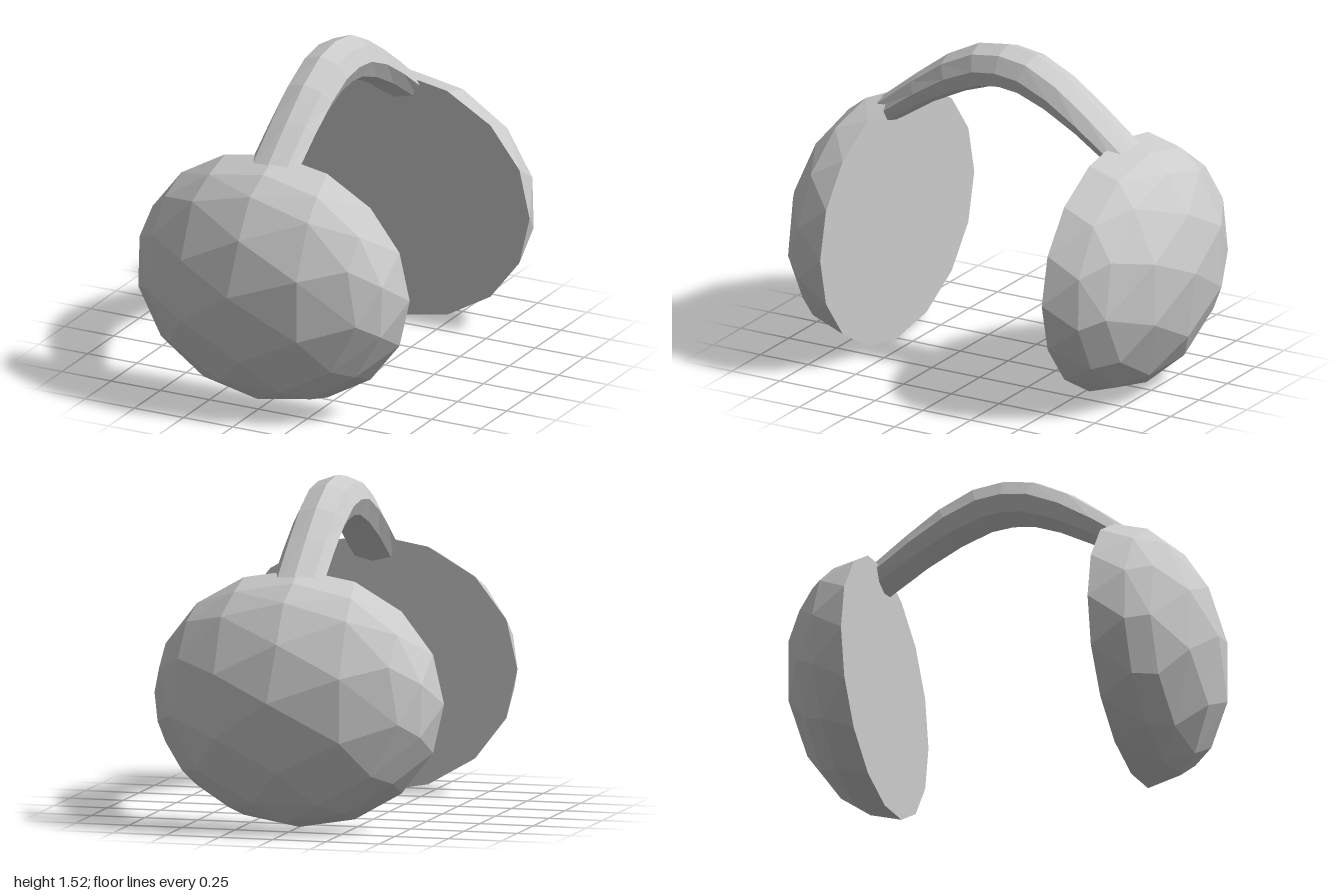
import * as THREE from 'three';
import { ConvexGeometry } from 'three/addons/geometries/ConvexGeometry.js';

const material = new THREE.MeshStandardMaterial({ color: 0xcccccc, flatShading: true });

// Faceted half ellipsoid with a flat inner face, bulging towards +z
function domeGeometry() {
  const points = [new THREE.Vector3(-0.03, 0.03, 0.42)];
  // relative radius, number of corners, start angle
  const rings = [[1, 16, 0], [0.93, 14, 0.2], [0.8, 11, Math.PI / 2], [0.5, 6, -Math.PI / 2]];
  for (const [r, n, start] of rings) {
    for (let i = 0; i < n; i++) {
      const a = start + (i / n) * Math.PI * 2;
      points.push(new THREE.Vector3(0.68 * r * Math.cos(a), 0.585 * r * Math.sin(a), 0.42 * Math.sqrt(1 - r * r)));
    }
  }
  return new ConvexGeometry(points);
}

// Eight-sided band swept over an arch, thinner towards its ends
function bandGeometry() {
  const half = [[0.12, 1.40, 0.103], [0.27, 1.335, 0.092], [0.43, 1.235, 0.075], [0.66, 1.07, 0.06]];
  const path = [...half.map(([z, y, t]) => [-z, y, t]).reverse(), [0, 1.415, 0.105], ...half];
  const sides = 8, positions = [], index = [];
  path.forEach(([z, y, t], i) => {
    const a = path[Math.max(i - 1, 0)], b = path[Math.min(i + 1, path.length - 1)];
    const slope = Math.atan2(b[1] - a[1], b[0] - a[0]);
    for (let k = 0; k < sides; k++) {
      const angle = (k / sides) * Math.PI * 2;
      const h = t * Math.sin(angle);
      positions.push(0.12 * Math.cos(angle), y + h * Math.cos(slope), z - h * Math.sin(slope));
    }
  });
  for (let i = 0; i < path.length - 1; i++) {
    for (let k = 0; k < sides; k++) {
      const a = i * sides + k, b = i * sides + (k + 1) % sides;
      index.push(a, b, b + sides, a, b + sides, a + sides);
    }
  }
  // end caps
  const last = (path.length - 1) * sides;
  for (let k = 1; k < sides - 1; k++) {
    index.push(0, k + 1, k, last, last + k, last + k + 1);
  }
  const geometry = new THREE.BufferGeometry();
  geometry.setAttribute('position', new THREE.Float32BufferAttribute(positions, 3));
  geometry.setIndex(index);
  const flat = geometry.toNonIndexed();
  flat.computeVertexNormals();
  return flat;
}

export function createModel() {
  const group = new THREE.Group();
  group.name = 'earmuffs';

  // Two ear pads facing away from each other
  const dome = domeGeometry();
  for (const [name, side] of [['frontPad', 1], ['backPad', -1]]) {
    const pad = new THREE.Mesh(dome, material);
    pad.name = name;
    pad.position.set(0, 0.585, 0.58 * side);
    if (side < 0) pad.rotation.y = Math.PI;
    group.add(pad);
  }

  // Headband arching between the pads
  const band = new THREE.Mesh(bandGeometry(), material);
  band.name = 'headband';
  group.add(band);
  return group;
}
